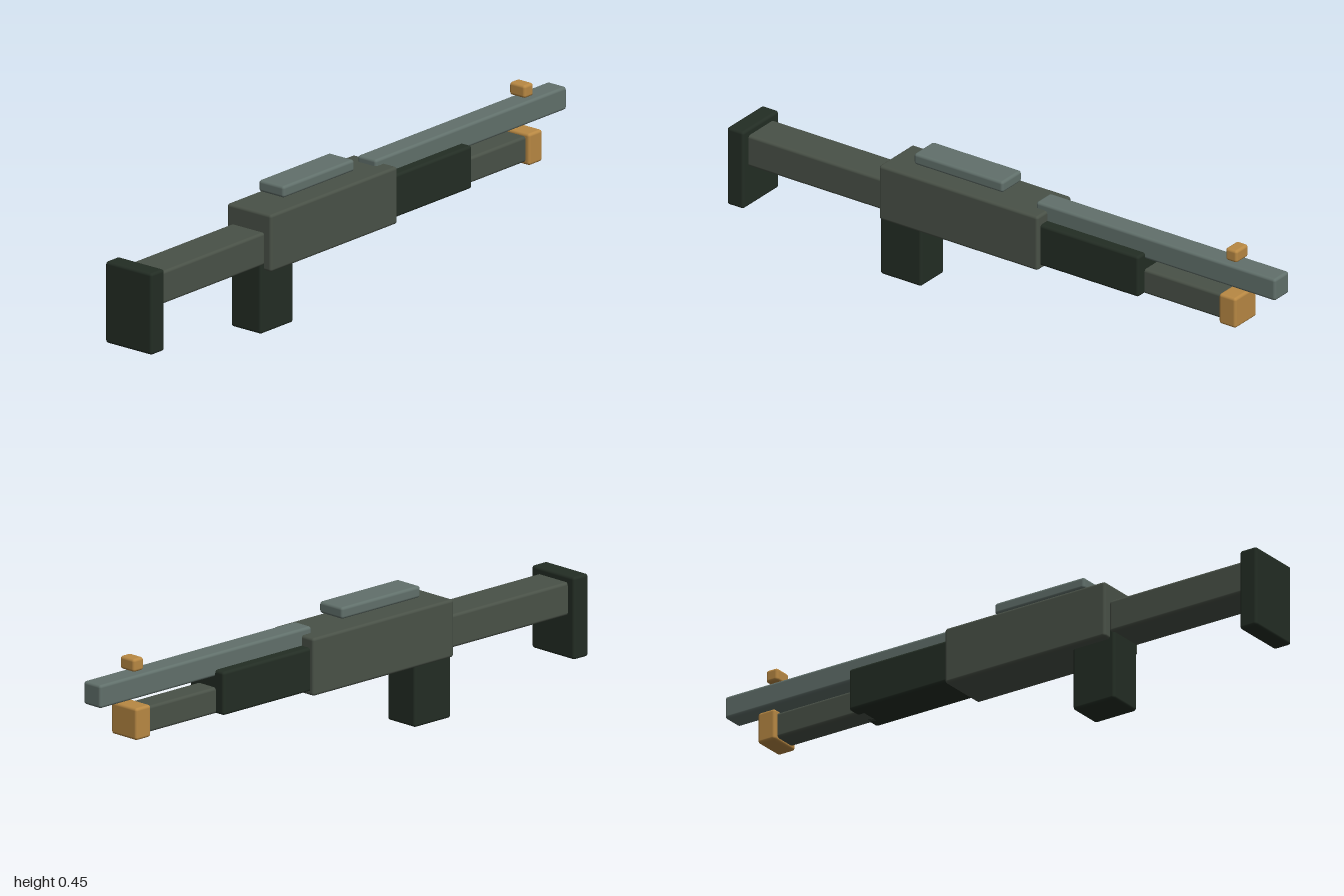
import * as THREE from 'three';
import { RoundedBoxGeometry } from 'three/addons/geometries/RoundedBoxGeometry.js';

const material = (name, color) => {
  const m = new THREE.MeshStandardMaterial({ color });
  m.name = name;
  return m;
};

export function createModel() {
  const group = new THREE.Group();
  group.name = 'toyLongGun';

  const darkGreen = material('darkGreen', 0x232d24);
  const olive = material('oliveGrey', 0x495147);
  const steel = material('steelGrey', 0x61706b);
  const brass = material('brass', 0xb88843);

  // Softly rounded block, centred on x, given half width and y / z ranges
  const block = (name, mat, halfWidth, [y0, y1], [z0, z1], radius = 0.009) => {
    const geometry = new RoundedBoxGeometry(halfWidth * 2, y1 - y0, z1 - z0, 3, radius);
    const mesh = new THREE.Mesh(geometry, mat);
    mesh.name = name;
    mesh.position.set(0, (y0 + y1) / 2, (z0 + z1) / 2);
    group.add(mesh);
  };

  // Rear: butt plate, stock and grip
  block('buttPlate', darkGreen, 0.092, [0.085, 0.345], [0.938, 1.0]);
  block('stock', olive, 0.065, [0.22, 0.324], [0.438, 0.95]);
  block('grip', darkGreen, 0.06, [0, 0.28], [0.3, 0.453]);

  // Middle: receiver, raised top plate and hand guard
  block('receiver', olive, 0.0875, [0.2, 0.382], [-0.153, 0.438]);
  block('topPlate', steel, 0.05, [0.401, 0.438], [0.004, 0.335]);
  block('handGuard', darkGreen, 0.073, [0.213, 0.35], [-0.517, -0.14]);

  // Front: barrel, lower tube, its end cap and the sight
  block('barrel', steel, 0.037, [0.329, 0.402], [-1.0, -0.11]);
  block('lowerTube', olive, 0.04, [0.213, 0.295], [-0.815, -0.48]);
  block('tubeCap', brass, 0.055, [0.204, 0.305], [-0.866, -0.803]);
  block('frontSight', brass, 0.031, [0.411, 0.452], [-0.853, -0.81]);

  return group;
}
